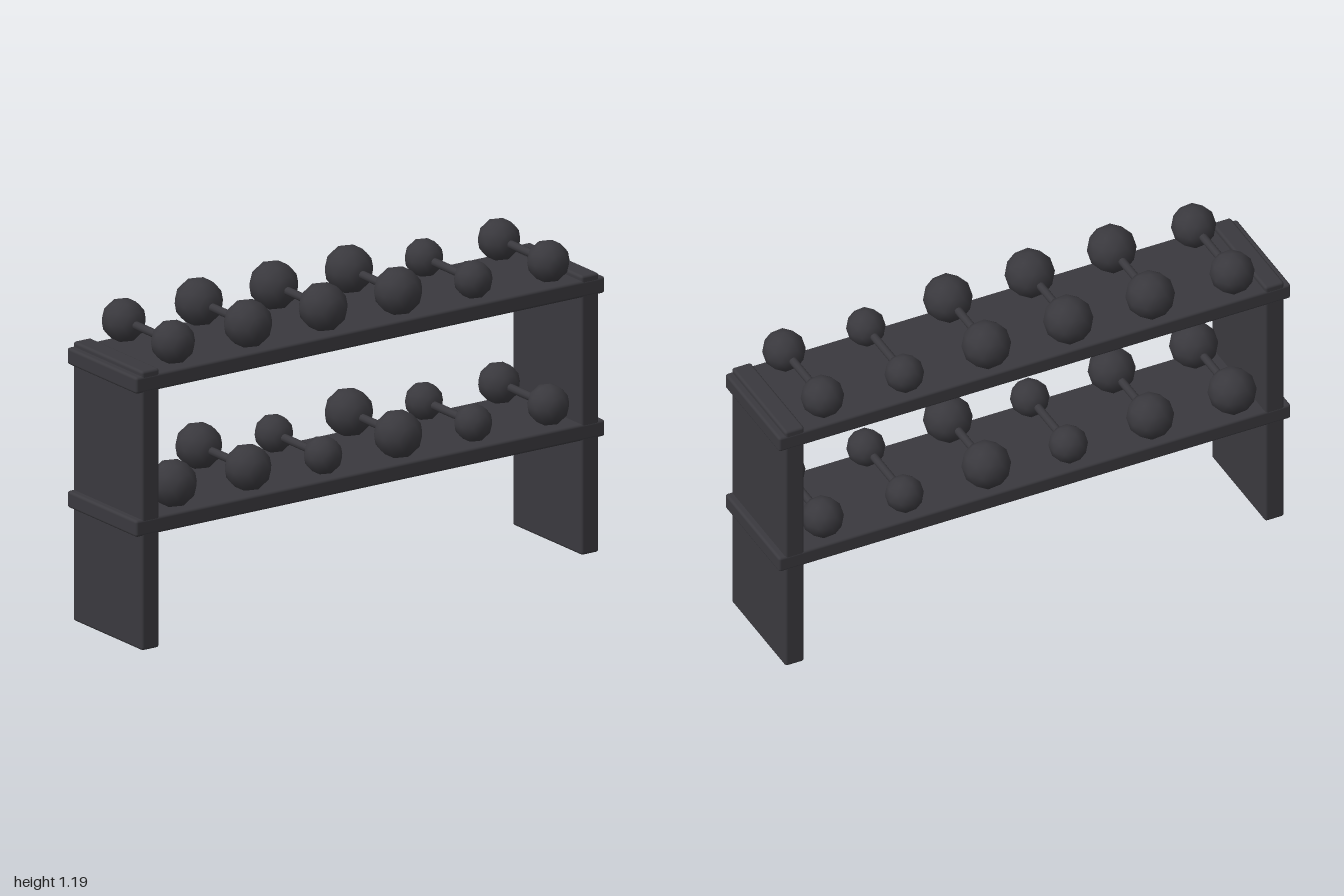
import * as THREE from 'three';
import { RoundedBoxGeometry } from 'three/addons/geometries/RoundedBoxGeometry.js';

const material = new THREE.MeshStandardMaterial({ color: 0x3a393e });

function mesh(name, geometry, x, y, z) {
  const m = new THREE.Mesh(geometry, material);
  m.name = name;
  m.position.set(x, y, z);
  return m;
}

// A pair of low-poly balls joined by a short handle, resting on a shelf
function dumbbell(radius, x, shelfTop) {
  const group = new THREE.Group();
  group.name = 'dumbbell';
  group.position.set(x, shelfTop + radius, 0);
  // turned so that one corner of the ball points straight up
  const ball = new THREE.IcosahedronGeometry(radius, 1);
  ball.rotateZ(Math.atan(2 / (1 + Math.sqrt(5))));
  for (const side of [1, -1]) {
    group.add(mesh(side > 0 ? 'frontBall' : 'backBall', ball, 0, 0, side * 0.15));
  }
  const handle = new THREE.CylinderGeometry(0.015, 0.015, 0.24, 10).rotateX(Math.PI / 2);
  group.add(mesh('handle', handle, 0, 0, 0));
  return group;
}

export function createModel() {
  const model = new THREE.Group();
  model.name = 'dumbbellRack';

  // Side panels
  const panel = new RoundedBoxGeometry(0.075, 1.026, 0.422, 2, 0.01);
  model.add(mesh('leftPanel', panel, 0.937, 0.513, 0));
  model.add(mesh('rightPanel', panel, -0.937, 0.513, 0));

  // Shelves with their dumbbells, ball radii listed from right to left
  const shelves = [
    { name: 'upperShelf', top: 1.008, radii: [0.08, 0.088, 0.089, 0.088, 0.07, 0.077] },
    { name: 'lowerShelf', top: 0.482, radii: [0.087, 0.085, 0.07, 0.088, 0.069, 0.076] },
  ];
  const board = new RoundedBoxGeometry(2, 0.061, 0.424, 2, 0.01);
  for (const { name, top, radii } of shelves) {
    model.add(mesh(name, board, 0, top - 0.0305, 0));
    radii.forEach((r, i) => model.add(dumbbell(r, -0.8 + i * 0.32, top)));
  }
  return model;
}
